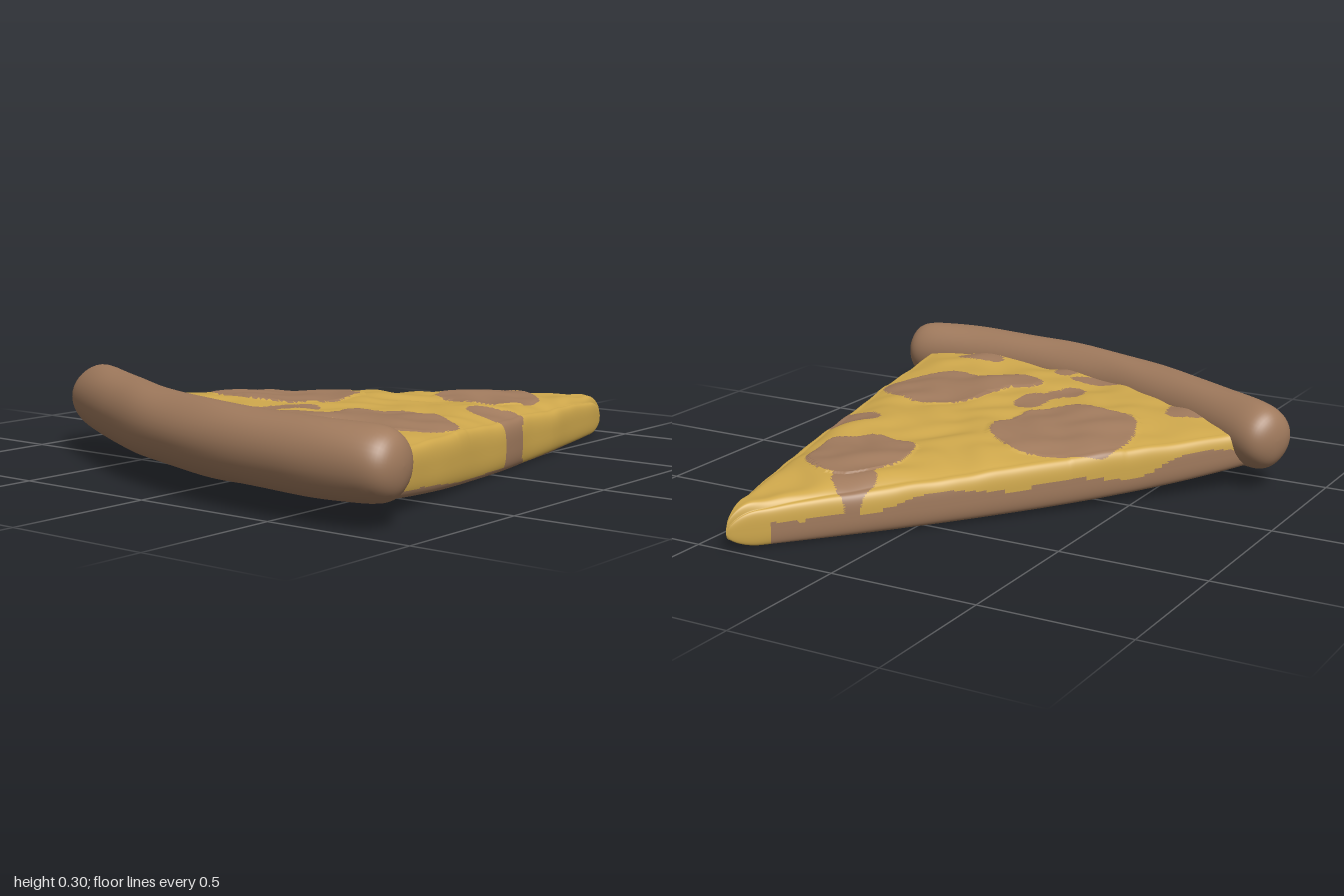
import * as THREE from 'three';

const brown = new THREE.MeshStandardMaterial({ color: 0xa07a5d });
brown.name = 'baked brown';
const yellow = new THREE.MeshStandardMaterial({ color: 0xcfa84c });
yellow.name = 'cheese yellow';

// Smooth lumpy variation in the range -1 to 1
const lumps = (x, z, f) =>
  (Math.sin(f * x + 1.7 * Math.sin(f * 0.6 * z)) + Math.sin(f * 1.1 * z + 1.9 * Math.sin(f * 0.5 * x + 1))) / 2;

// Centre line of the crust, from the back end to the front end
const crustCurve = new THREE.CatmullRomCurve3(
  [[-0.358, -0.872], [-0.41, -0.77], [-0.61, -0.42], [-0.775, -0.05], [-0.85, 0.25], [-0.884, 0.55], [-0.872, 0.885]]
    .map(([x, z]) => new THREE.Vector3(x, 0.19, z)));
const tip = new THREE.Vector3(1, 0, 0.39);

// Closed rings of points joined into one smooth skin; sort(k, j, centre) names the part of each cell
function loft(rows, ring, point, sort) {
  const pos = [];
  for (let k = 0; k <= rows; k++)
    for (let j = 0; j < ring; j++) pos.push(...point(k, j));
  const parts = {}, all = [];
  const at = i => new THREE.Vector3().fromArray(pos, i * 3);
  for (let k = 0; k < rows; k++)
    for (let j = 0; j < ring; j++) {
      const n = (j + 1) % ring;
      const a = k * ring + j, b = a + ring, c = k * ring + n, d = c + ring;
      for (const tri of [[a, b, c], [c, b, d]]) {
        const mid = at(tri[0]).add(at(tri[1])).add(at(tri[2])).divideScalar(3);
        (parts[sort(k, j, mid)] ??= []).push(...tri);
        all.push(...tri);
      }
    }
  const whole = new THREE.BufferGeometry();
  whole.setAttribute('position', new THREE.Float32BufferAttribute(pos, 3));
  whole.setIndex(all);
  whole.computeVertexNormals();
  return Object.entries(parts).map(([name, index]) => {
    const g = new THREE.BufferGeometry();
    g.setAttribute('position', whole.attributes.position);
    g.setAttribute('normal', whole.attributes.normal);
    g.setIndex(index);
    const mesh = new THREE.Mesh(g, name === 'cheese' ? yellow : brown);
    mesh.name = name;
    return mesh;
  });
}

// Ellipses seen from above: x, z, half width, half depth
const slices = [
  [-0.07, -0.22, 0.25, 0.235],
  [-0.33, 0.42, 0.19, 0.215], [-0.49, 0.2, 0.07, 0.1], [-0.43, 0.27, 0.12, 0.08],
  [0.435, 0.28, 0.19, 0.175],
];
const crumbs = [
  [0.65, 0.15, 0.09, 0.07], [0.58, 0.19, 0.07, 0.06], [0.11, 0.57, 0.075, 0.14], [0.17, 0.54, 0.05, 0.035],
  [-0.47, -0.04, 0.06, 0.05], [-0.41, 0, 0.07, 0.04], [-0.32, 0.03, 0.09, 0.06],
  [-0.48, -0.49, 0.12, 0.06], [-0.44, -0.54, 0.06, 0.06], [-0.7, 0.1, 0.045, 0.05],
  [-0.73, 0.5, 0.05, 0.09], [-0.64, -0.05, 0.04, 0.1],
];
const specks = [[0.11, 0.45, 0.055, 0.04], [0.42, 0.43, 0.035, 0.025]];
const inside = (list, x, z, rough) => list.some(([cx, cz, rx, rz]) =>
  Math.hypot((x - cx) / rx, (z - cz) / rz) < 1 + rough * lumps(x, z, 23));

// Slice body: rings from the tip out to the crust, running over the top, front side, bottom and back side
const ROWS = 200, TOP = 104, SIDE = 40, BOTTOM = 40;
const RING = TOP + SIDE + BOTTOM + SIDE;

function ringPlace(j) {
  if (j < TOP) return { face: 'top', v: j / TOP, turn: 0 };
  j -= TOP;
  if (j < SIDE) return { face: 'front', v: 1, turn: j / SIDE };
  j -= SIDE;
  if (j < BOTTOM) return { face: 'bottom', v: 1 - j / BOTTOM, turn: 1 };
  return { face: 'back', v: 0, turn: 1 - (j - BOTTOM) / SIDE };
}

const ends = Array.from({ length: RING }, (_, j) => crustCurve.getPointAt(0.06 + 0.868 * ringPlace(j).v));

function bodyPoint(k, j) {
  const u = k / ROWS, { face, v, turn } = ringPlace(j);
  const dx = ends[j].x - tip.x, dz = ends[j].z - tip.z, len = Math.hypot(dx, dz);
  let x = tip.x + u * dx, z = tip.z + u * dz;
  const round = Math.sqrt(1 - (1 - Math.min(u / 0.06, 1)) ** 2);
  const edge = Math.abs(2 * v - 1) ** 6;
  const raised = inside(slices, x, z, 0.1) ? 0.006 : 0;
  const bump = 0.007 * lumps(x, z, 13) + 0.005 * lumps(z, x, 31);
  const high = 0.13 + 0.1 * Math.sqrt(u) - 0.026 * edge + (bump + raised) * (1 - 0.6 * edge);
  const low = 0.005 + 0.073 * u ** 4 + 0.014 * u * (1 - v) ** 2 + 0.008 * (1 - u) ** 4;
  const c = Math.cos(turn * Math.PI), s = Math.sin(turn * Math.PI);
  const y = (high + low) / 2 + round * (high - low) / 2 * Math.sign(c) * Math.abs(c) ** 0.7;
  if (face === 'front' || face === 'back') {
    const out = (face === 'front' ? 1 : -1) * Math.abs(s) ** 0.7 *
      (0.035 + 0.004 * lumps(x, z, 19)) * Math.sqrt(Math.min(u / 0.3, 1));
    x += out * dz / len;
    z -= out * dx / len;
  }
  return [x, y, z];
}

function bodyPart(k, j, p) {
  const { face, turn } = ringPlace(j), u = k / ROWS;
  if (face === 'bottom') return u < 0.05 || inside(specks, p.x, p.z, 0.1) ? 'cheese' : 'base';
  const limit = face === 'front' ? 0.64 + 0.25 * (1 - u) : 0.5;
  const waver = (face === 'front' ? 0.05 : 0.12) * lumps(p.x, p.z, 11);
  if (u > 0.07 && turn > limit + waver) return 'base';
  if (inside(slices, p.x, p.z, 0.06)) return 'pepperoni';
  return inside(crumbs, p.x, p.z, 0.2) ? 'toppingPieces' : 'cheese';
}

// Crust: thick roll along the curve, a little deeper below, with blunt rounded ends
const CRUST_ROWS = 90, CRUST_RING = 36;
function crustPoint(k, j) {
  const s = 0.5 - 0.5 * Math.cos(Math.PI * k / CRUST_ROWS);
  const c = crustCurve.getPointAt(s), t = crustCurve.getTangentAt(s);
  const a = 2 * Math.PI * j / CRUST_RING;
  const r = Math.sqrt(Math.max(0, 1 - Math.abs(2 * s - 1) ** 26)) *
    (0.112 + 0.003 * lumps(c.z, Math.sin(a) * 0.3, 14));
  const deep = Math.cos(a) < 0 ? 1.06 : 1;
  return [c.x + r * t.z * Math.sin(a), c.y + r * deep * Math.cos(a), c.z - r * t.x * Math.sin(a)];
}

export function createModel() {
  const model = new THREE.Group();
  model.name = 'pizzaSlice';
  model.add(...loft(ROWS, RING, bodyPoint, bodyPart));
  model.add(...loft(CRUST_ROWS, CRUST_RING, crustPoint, () => 'crust'));
  return model;
}
